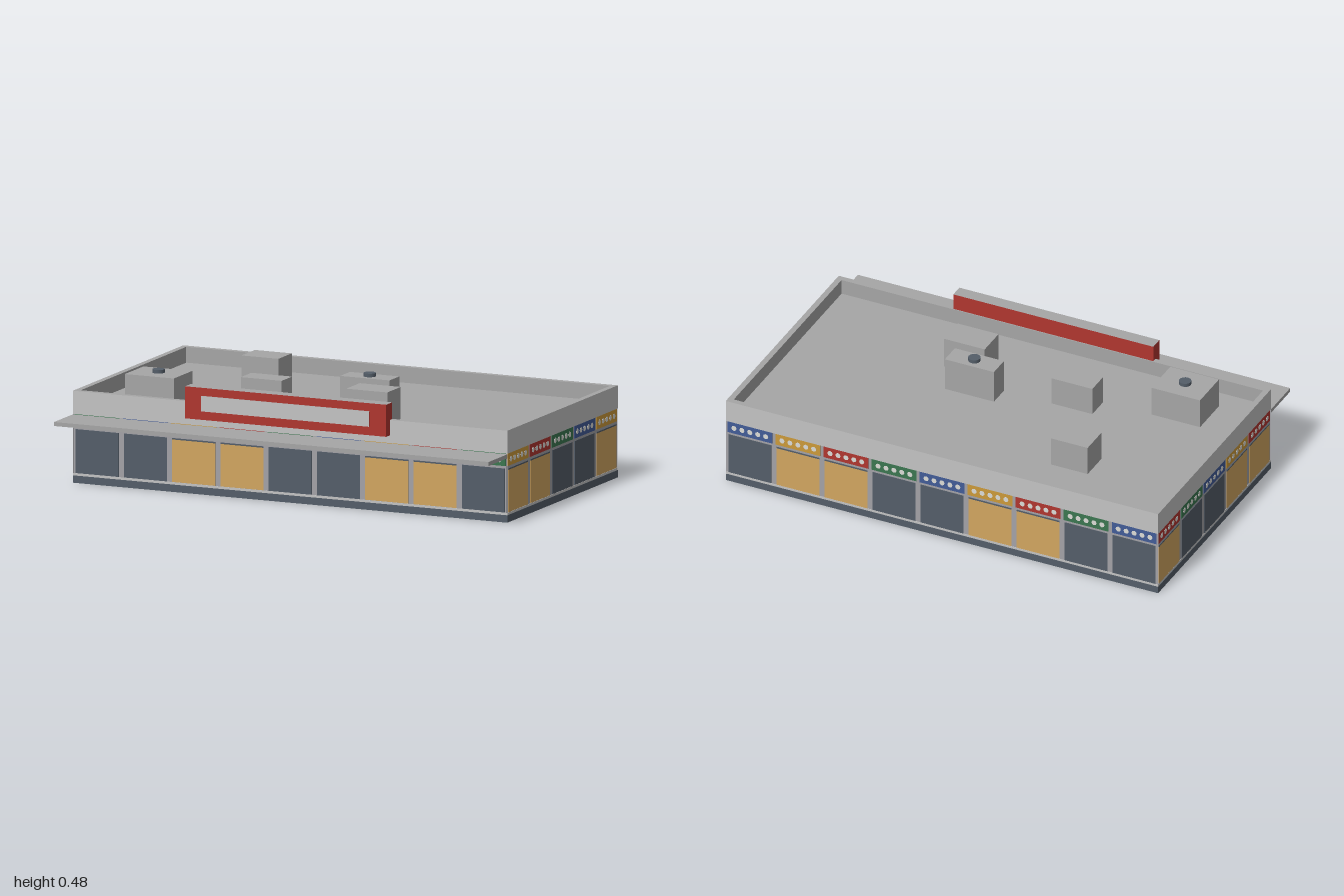
import * as THREE from 'three';

const mat = (name, color) => {
  const m = new THREE.MeshStandardMaterial({ color, side: THREE.DoubleSide });
  m.name = name;
  return m;
};

export function createModel() {
  const M = {
    roof: mat('roofGrey', 0xa6a6a6),
    wall: mat('paleGrey', 0xc4c4c4),
    pillar: mat('pillarGrey', 0xa3a2a7),
    dark: mat('slate', 0x545e69),
    shutter: mat('tan', 0xd2a660),
    red: mat('red', 0xb03630),
    yellow: mat('amber', 0xcc9a3a),
    green: mat('green', 0x3b7750),
    blue: mat('blue', 0x425c98),
    dot: mat('offWhite', 0xdcdcd8),
  };
  const model = new THREE.Group();
  model.name = 'shopBuilding';

  const add = (parent, name, geo, material, x, y, z) => {
    const mesh = new THREE.Mesh(geo, material);
    mesh.name = name;
    mesh.position.set(x, y, z);
    parent.add(mesh);
    return mesh;
  };
  // Box given by its min and max corners
  const box = (parent, name, material, x0, x1, y0, y1, z0, z1) =>
    add(parent, name, new THREE.BoxGeometry(x1 - x0, y1 - y0, z1 - z0), material,
      (x0 + x1) / 2, (y0 + y1) / 2, (z0 + z1) / 2);

  const BACK = -0.63, FRONT = 0.445, MID = (BACK + FRONT) / 2, DEPTH = FRONT - BACK;
  const TOP = 0.39, ROOF = 0.323, RIM = 0.025, SPLIT = 0.292;
  const cycle = ['green', 'blue', 'yellow', 'red'];

  // One hollow outer wall: details straddle the thin sheet and show on both faces
  function facade(name, width, bays, first, x, z, turn) {
    const g = new THREE.Group();
    g.name = name;
    g.position.set(x, 0, z);
    g.rotation.y = turn;
    model.add(g);
    const h = width / 2, t = 0.003;
    add(g, 'pillarSheet', new THREE.PlaneGeometry(width, SPLIT), M.pillar, 0, SPLIT / 2, -t);
    add(g, 'upperWall', new THREE.PlaneGeometry(width, TOP - SPLIT), M.wall, 0, (TOP + SPLIT) / 2, 0);
    box(g, 'plinth', M.dark, -h, h, 0, 0.031, -2 * t, 0);
    box(g, 'sill', M.wall, -h, h, 0.031, 0.041, -1.6 * t, -0.4 * t);
    const step = width / bays;
    for (let i = 0; i < bays; i++) {
      const cx = -h + (i + 0.5) * step;
      const colour = cycle[(first + i) % 4];
      const closed = colour === 'yellow' || colour === 'red';
      const d = step * 0.445, s = step * 0.465;
      box(g, closed ? 'shutter' : 'shopWindow', closed ? M.shutter : M.dark,
        cx - d, cx + d, 0.042, 0.222, -1.8 * t, -0.2 * t);
      box(g, 'lintel', M.dark, cx - d, cx + d, 0.222, 0.228, -1.8 * t, -0.2 * t);
      box(g, 'bayPanel', M[colour], cx - s, cx + s, 0.239, SPLIT, -1.8 * t, -0.2 * t);
      // Row of plain round lamps, both faces
      for (let k = -2; k <= 2; k++) {
        const lamp = add(g, 'lamp', new THREE.CylinderGeometry(0.012, 0.012, 2.2 * t, 8),
          M.dot, cx + k * step * 0.165, 0.265, -t);
        lamp.rotation.x = Math.PI / 2;
      }
    }
  }
  facade('frontWall', 2, 9, 0, 0, FRONT, 0);
  facade('backWall', 2, 9, 1, 0, BACK, Math.PI);
  facade('rightWall', DEPTH, 5, 2, 1, MID, Math.PI / 2);
  facade('leftWall', DEPTH, 5, 3, -1, MID, -Math.PI / 2);

  // Flat roof inside the parapet
  const iw = 2 - 2 * RIM, id = DEPTH - 2 * RIM;
  const roof = add(model, 'roof', new THREE.PlaneGeometry(iw, id), M.roof, 0, ROOF, MID);
  roof.rotation.x = -Math.PI / 2;

  // Parapet cap and inner faces
  const rect = (Type, w, d) => {
    const p = new Type();
    p.moveTo(-w / 2, -d / 2).lineTo(w / 2, -d / 2).lineTo(w / 2, d / 2).lineTo(-w / 2, d / 2).closePath();
    return p;
  };
  const capShape = rect(THREE.Shape, 2, DEPTH);
  capShape.holes.push(rect(THREE.Path, iw, id));
  const cap = add(model, 'parapetCap', new THREE.ShapeGeometry(capShape), M.roof, 0, TOP, MID);
  cap.rotation.x = -Math.PI / 2;
  for (const s of [-1, 1]) {
    const y = (TOP + ROOF) / 2;
    const long = add(model, 'parapetInner', new THREE.PlaneGeometry(iw, TOP - ROOF), M.roof, 0, y, MID + s * id / 2);
    long.rotation.y = s > 0 ? Math.PI : 0;
    const side = add(model, 'parapetInner', new THREE.PlaneGeometry(id, TOP - ROOF), M.roof, s * iw / 2, y, MID);
    side.rotation.y = -s * Math.PI / 2;
  }

  // Front canopy
  box(model, 'canopy', M.roof, -1, 1, 0.273, 0.29, FRONT, 0.627);

  // Blank fascia board with grey top and pale panel
  box(model, 'fasciaBoard', [M.red, M.red, M.roof, M.red, M.red, M.red],
    -0.465, 0.46, 0.325, 0.461, 0.424, 0.482);
  box(model, 'fasciaPanel', [M.red, M.red, M.roof, M.red, M.wall, M.red],
    -0.39, 0.383, 0.362, 0.427, 0.481, 0.488);

  // Rooftop units: x0, x1, z0, z1, top, has vent
  const units = [
    [-0.555, -0.385, -0.385, -0.255, 0.452, false],
    [0.04, 0.267, -0.053, 0.042, 0.469, true],
    [-0.37, -0.182, 0.04, 0.142, 0.447, false],
    [0.158, 0.347, 0.102, 0.233, 0.459, false],
    [-0.817, -0.592, 0.145, 0.325, 0.455, true],
  ];
  for (const [x0, x1, z0, z1, top, vent] of units) {
    box(model, 'rooftopUnit', M.roof, x0, x1, ROOF, top, z0, z1);
    if (vent) {
      add(model, 'vent', new THREE.CylinderGeometry(0.026, 0.026, 0.015, 16), M.dark,
        (x0 + x1) / 2, top + 0.0075, (z0 + z1) / 2);
    }
  }
  return model;
}
